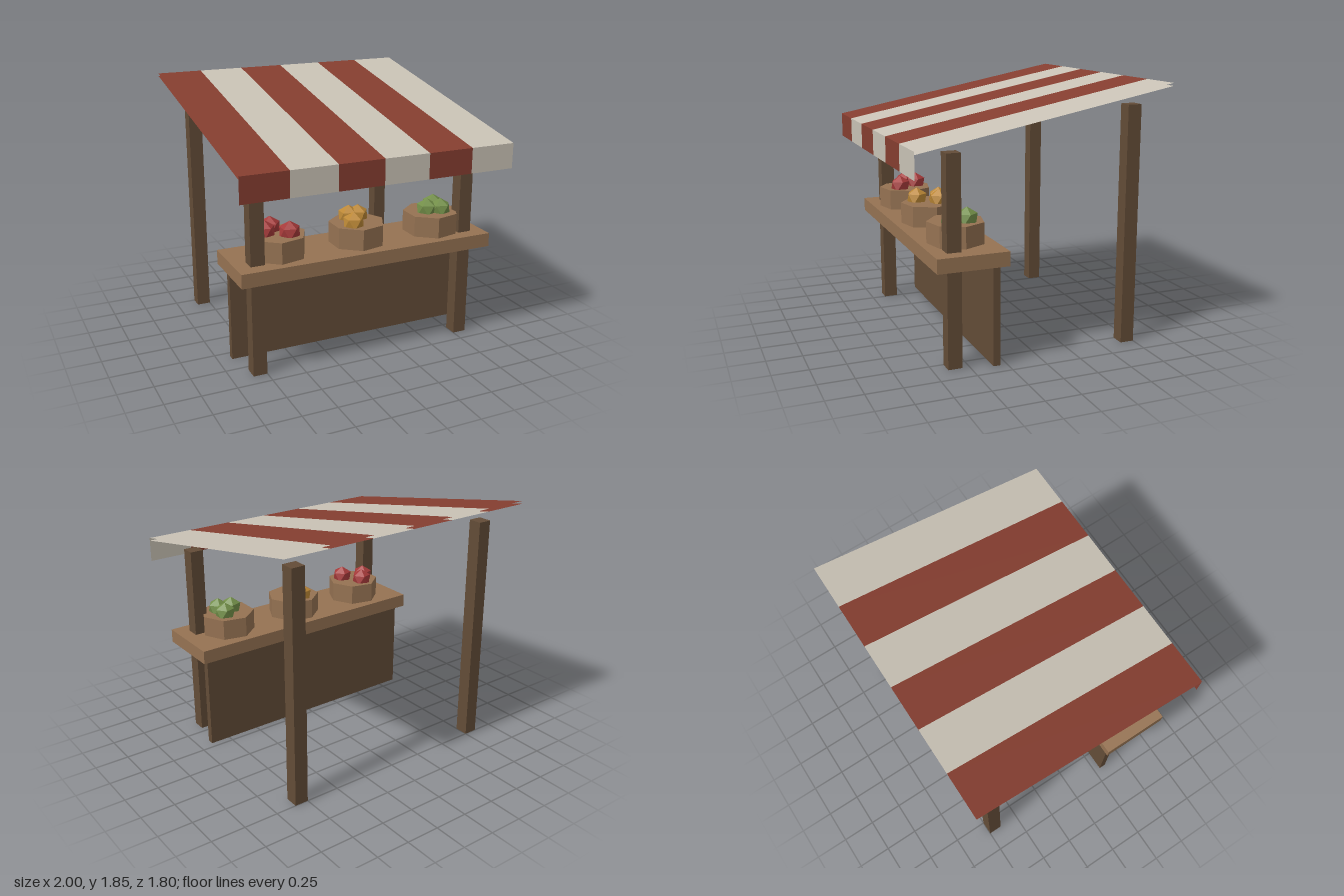
import * as THREE from 'three';

const material = (name, color, extra = {}) => {
  const m = new THREE.MeshStandardMaterial({ color, ...extra });
  m.name = name;
  return m;
};

export function createModel() {
  const model = new THREE.Group();
  model.name = 'marketStall';

  const darkWood = material('darkWood', 0x634c37);
  const lightWood = material('lightWood', 0x957252, { flatShading: true });
  const redCloth = material('redCloth', 0x863e30, { side: THREE.DoubleSide });
  const creamCloth = material('creamCloth', 0xcac3b6, { side: THREE.DoubleSide });
  const redFruit = material('redFruit', 0xa63a3a, { flatShading: true });
  const yellowFruit = material('yellowFruit', 0xbc8836, { flatShading: true });
  const greenFruit = material('greenFruit', 0x728e48, { flatShading: true });

  const add = (name, geometry, mat, x, y, z, parent = model) => {
    const mesh = new THREE.Mesh(geometry, mat);
    mesh.name = name;
    mesh.position.set(x, y, z);
    parent.add(mesh);
    return mesh;
  };
  const box = (name, w, h, d, mat, x, y, z) =>
    add(name, new THREE.BoxGeometry(w, h, d), mat, x, y, z);

  // Counter top and its supporting panel
  box('counterTop', 1.9, 0.1, 0.5, lightWood, 0, 0.75, 0.5);
  box('counterPanel', 1.8, 0.7, 0.05, darkWood, 0, 0.35, 0.325);

  // Four posts, taller at the back
  for (const side of [-1, 1]) {
    box('frontPost', 0.1, 1.45, 0.1, darkWood, side * 0.8, 0.725, 0.6);
    box('backPost', 0.1, 1.7, 0.1, darkWood, side * 0.8, 0.85, -0.7);
  }

  // Striped awning: two thin sloping sheets and a hanging front flap
  const awning = new THREE.Group();
  awning.name = 'awning';
  model.add(awning);
  const stripes = 6;
  const width = 2 / stripes;
  const slope = new THREE.PlaneGeometry(width, Math.hypot(1.8, 0.35));
  slope.rotateX(-Math.atan2(0.9, 0.175));
  const flap = new THREE.PlaneGeometry(width, 0.18);
  for (let i = 0; i < stripes; i++) {
    const cloth = i % 2 ? creamCloth : redCloth;
    const x = -1 + width * (i + 0.5);
    add('awningTop', slope, cloth, x, 1.675, 0, awning);
    add('awningUnderside', slope, cloth, x, 1.655, 0, awning);
    add('awningFlap', flap, cloth, x, 1.41, 0.9, awning);
  }

  // Seven-sided crates, each with three faceted fruits standing on a corner
  const crateShape = new THREE.CylinderGeometry(0.2, 0.2, 0.15, 7).rotateY(Math.PI / 2);
  const fruitShape = new THREE.IcosahedronGeometry(0.08, 0)
    .rotateZ(Math.atan(2 / (1 + Math.sqrt(5))))
    .rotateY(Math.PI);
  const crates = [
    [-0.6, redFruit, [[0.065, 0.06], [-0.086, -0.02], [-0.02, -0.09]]],
    [0, yellowFruit, [[-0.06, 0.07], [-0.025, -0.085], [0.04, -0.07]]],
    [0.6, greenFruit, [[0.053, -0.06], [-0.042, 0.015], [0.05, 0.05]]],
  ];
  for (const [x, fruit, spots] of crates) {
    add('crate', crateShape, lightWood, x, 0.875, 0.5);
    for (const [dx, dz] of spots) add('fruit', fruitShape, fruit, x + dx, 0.97, 0.5 + dz);
  }

  return model;
}
